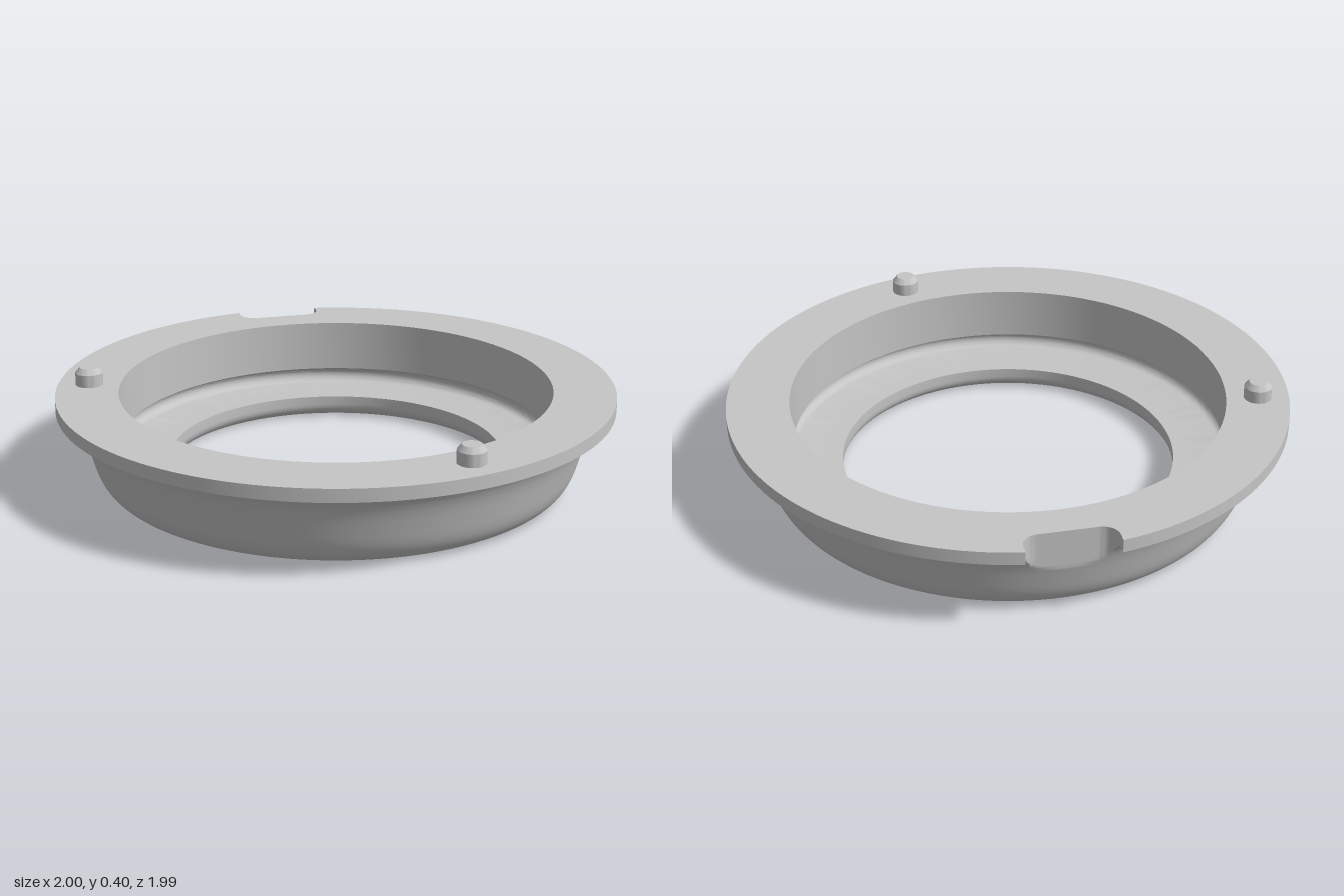
import * as THREE from 'three';
import { toCreasedNormals } from 'three/addons/utils/BufferGeometryUtils.js';

const grey = new THREE.MeshStandardMaterial({ color: 0xc5c5c5 });
grey.name = 'light grey';

const TOP = 0.333, ZC = -0.0065;                 // flange top, ring centre in z
const HALF = 0.157, DEPTH = 0.9, FILLET = 0.055; // rim notch at the back
const v = (r, y) => new THREE.Vector2(r, y);

// Arc around (cx, cy), from angle a to b
function arc(cx, cy, rad, a, b, n = 8) {
  return Array.from({ length: n + 1 }, (_, i) => {
    const t = a + (b - a) * i / n;
    return v(cx + rad * Math.cos(t), cy + rad * Math.sin(t));
  });
}

// Closed cross-section: flange, flared skirt, base, hole, flat floor, undercut groove, inner wall
function ringProfile() {
  const cove = new THREE.CubicBezierCurve(v(0.98, 0.286), v(0.93, 0.286), v(0.905, 0.21), v(0.89, 0.155));
  const belly = new THREE.CubicBezierCurve(v(0.89, 0.155), v(0.87, 0.09), v(0.86, 0), v(0.77, 0));
  return [
    v(0.777, TOP), v(1, TOP), v(1, 0.286),
    ...cove.getPoints(24), ...belly.getPoints(16).slice(1),
    ...arc(0.65, 0.05, 0.05, -Math.PI / 2, -Math.PI),
    v(0.6, 0.083),
    ...arc(0.777, 0.113, 0.03, -Math.PI / 2, Math.PI / 2, 12),
    v(0.777, TOP),
  ];
}

// How far back from the axis the notch outline lies at a given x
function notchLimit(x) {
  const d = Math.max(0, Math.abs(x) - HALF + FILLET);
  return DEPTH + FILLET - Math.sqrt(Math.max(0, FILLET * FILLET - d * d));
}

// Sweep the section round the axis; the strip behind the notch runs straight back and is cut off
function ringGeometry() {
  const profile = ringProfile(), n = profile.length;
  const columns = [];
  for (let i = 0; i <= 40; i++) {
    const x = HALF * Math.sin((i / 20 - 1) * Math.PI / 2), limit = notchLimit(x);
    columns.push((r) => [x, -Math.min(Math.sqrt(r * r - x * x), limit)]);
  }
  for (let i = 0; i <= 150; i++) {
    columns.push((r) => {
      const start = Math.asin(HALF / r);
      const a = start + (2 * Math.PI - 2 * start) * i / 150;
      return [r * Math.sin(a), -r * Math.cos(a)];
    });
  }
  columns.push(columns[0]);

  const pos = [], index = [];
  columns.forEach((place, i) => {
    profile.forEach((p, j) => {
      const [x, z] = place(p.x);
      pos.push(x, p.y, z);
      if (i < columns.length - 1 && j < n - 1) {
        const k = i * n + j;
        index.push(k, k + n, k + 1, k + n, k + n + 1, k + 1);
      }
    });
  });
  const g = new THREE.BufferGeometry();
  g.setAttribute('position', new THREE.Float32BufferAttribute(pos, 3));
  g.setIndex(index);
  return toCreasedNormals(g, 0.5);
}

// Short locating pin with a chamfered top
function pinGeometry() {
  const g = new THREE.LatheGeometry(
    [v(0.049, 0), v(0.049, 0.045), v(0.033, 0.064), v(0, 0.064)], 40);
  return toCreasedNormals(g, 0.5);
}

export function createModel() {
  const model = new THREE.Group();
  model.name = 'flangedRing';

  const ring = new THREE.Mesh(ringGeometry(), grey);
  ring.name = 'ringBody';
  ring.position.z = ZC;
  model.add(ring);

  [['rightPin', -0.858, -0.236], ['frontPin', 0.229, 0.852]].forEach(([name, x, z]) => {
    const pin = new THREE.Mesh(pinGeometry(), grey);
    pin.name = name;
    pin.position.set(x, TOP, z);
    model.add(pin);
  });
  return model;
}
